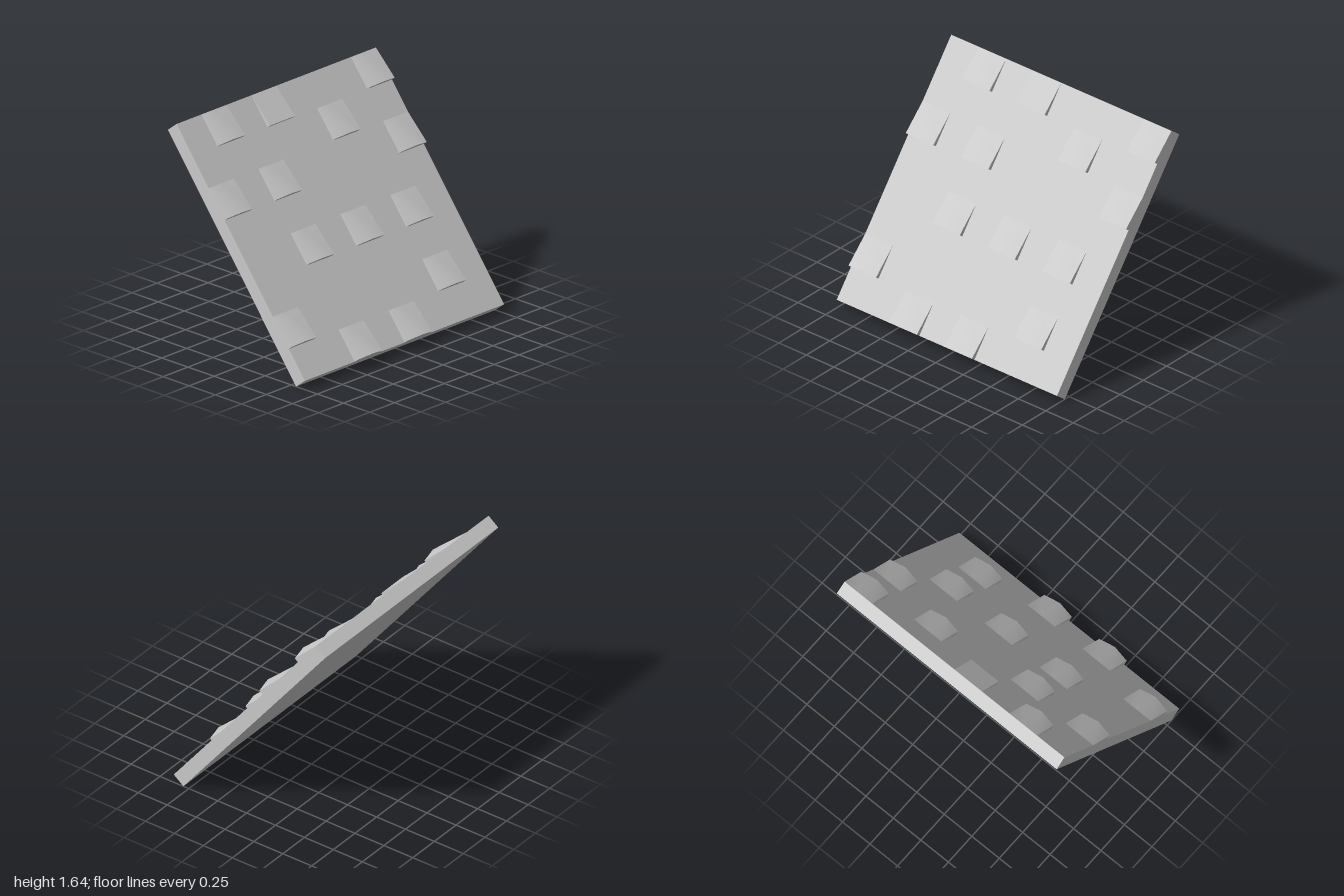
import * as THREE from 'three';

const LENGTH = 2, WIDTH = 2, THICKNESS = 0.106, CELL = 0.25;
const EDGE_HEIGHT = 0.034, RIDGE_HEIGHT = 0.06;

// Wedge tile: flush at the upslope edge, rising to a lifted lip, optionally ridged in the middle
function tileGeometry(ridgeHeight) {
  const geo = new THREE.BoxGeometry(CELL, 1, CELL, 1, 1, 2);
  geo.translate(CELL / 2, 0.5, CELL / 2);
  const p = geo.attributes.position;
  for (let i = 0; i < p.count; i++) {
    const middle = Math.abs(p.getZ(i) - CELL / 2) < 0.01;
    const lip = middle ? ridgeHeight : EDGE_HEIGHT;
    p.setY(i, p.getY(i) > 0.5 ? lip * (p.getX(i) / CELL) : 0);
  }
  geo.computeVertexNormals();
  return geo;
}

export function createModel() {
  const model = new THREE.Group();
  model.name = 'roofPanel';
  const material = new THREE.MeshStandardMaterial({ color: 0xcccccc });

  // Local frame: x runs down the slope, y is the outward normal
  const slope = new THREE.Group();
  slope.name = 'slope';
  slope.rotation.z = -THREE.MathUtils.degToRad(52.15);
  slope.position.set(-0.597, 1.645, 0);
  model.add(slope);

  // Slab
  const slab = new THREE.Mesh(new THREE.BoxGeometry(LENGTH, THICKNESS, WIDTH), material);
  slab.name = 'slab';
  slab.position.set(LENGTH / 2, -THICKNESS / 2, 0);
  slope.add(slab);

  // Scattered raised tiles: [row down the slope, lowest z]
  const ridged = tileGeometry(RIDGE_HEIGHT);
  const flat = tileGeometry(EDGE_HEIGHT);
  const addTile = (row, z, geometry, name) => {
    const tile = new THREE.Mesh(geometry, material);
    tile.name = name;
    tile.position.set(row * CELL, 0, z);
    slope.add(tile);
  };
  const places = [
    [0, -1], [0, 0.5],
    [1, -0.5],
    [2, -1], [2, 0.25], [2, 0.75],
    [4, -0.75], [4, -0.25], [4, 0.25],
    [6, -0.75], [6, 0.75],
    [7, -0.25], [7, 0.25],
  ];
  for (const [row, z] of places) addTile(row, z, ridged, 'ridgedTile');
  addTile(0, 0, flat, 'flatTile');

  return model;
}
